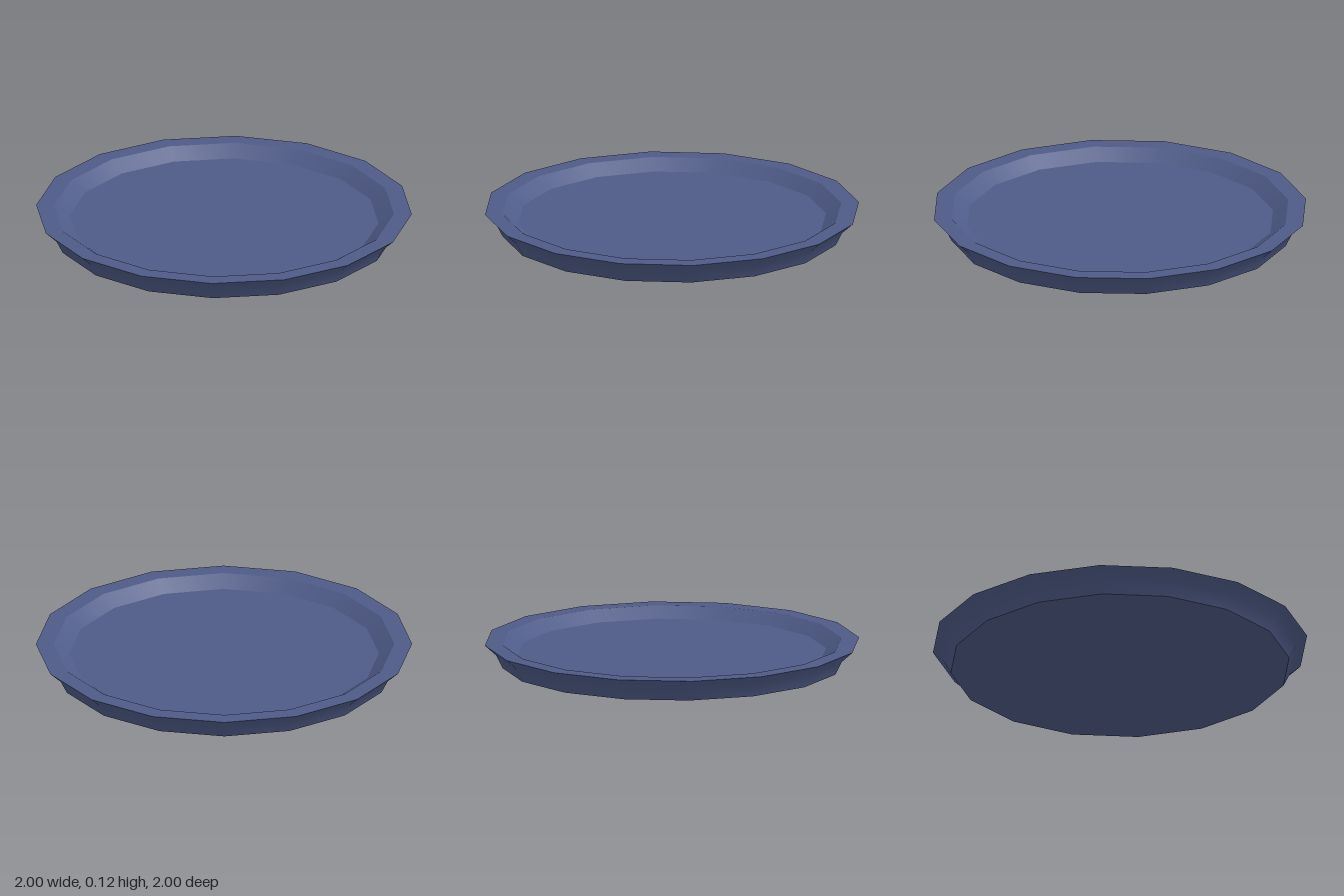
import * as THREE from 'three';

const SIDES = 16;

export function createModel() {
  const plate = new THREE.Group();
  plate.name = 'plate';
  const material = new THREE.MeshStandardMaterial({ color: 0x4f5b88 });

  // Each band is its own lathe, smooth around and sharp where bands meet
  const addBand = (name, profile) => {
    const points = profile.map(([r, y]) => new THREE.Vector2(r, y));
    const mesh = new THREE.Mesh(new THREE.LatheGeometry(points, SIDES), material);
    mesh.name = name;
    plate.add(mesh);
  };

  // Profile runs from the underside, up the outside and back in to the centre
  addBand('underside', [[0, 0], [0.905, 0]]);
  addBand('outerWall', [[0.905, 0], [0.94, 0.07], [1, 0.125]]);
  addBand('rim', [[1, 0.125], [0.905, 0.125]]);
  addBand('innerWall', [[0.905, 0.125], [0.823, 0.07]]);
  addBand('floor', [[0.823, 0.07], [0, 0.07]]);

  return plate;
}
